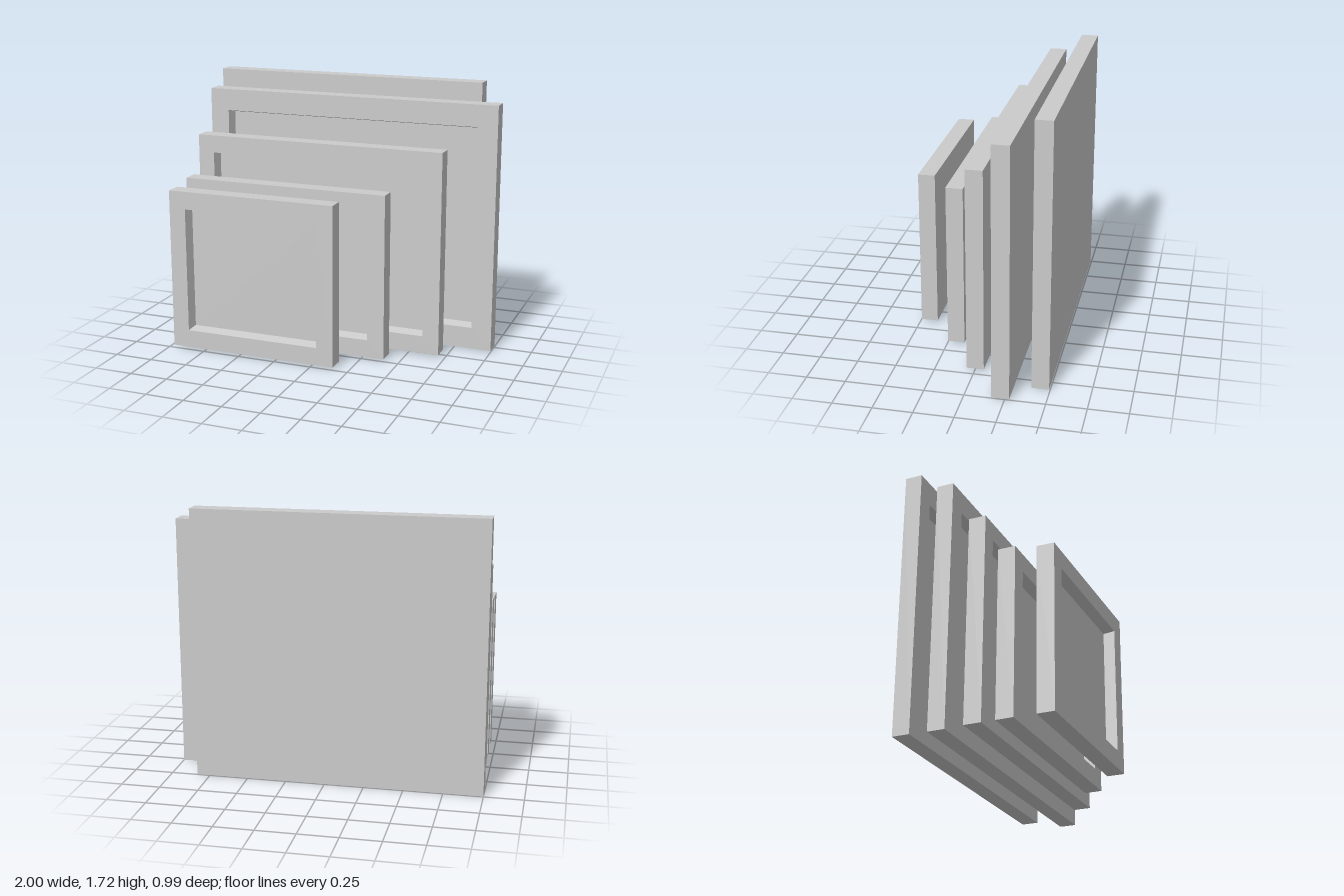
import * as THREE from 'three';

const THICKNESS = 0.11;
const RECESS_DEPTH = 0.068;
const TAPER = 0.016;

// Four corners of a rectangle at depth z, counter-clockwise seen from the front
const rect = (x0, x1, y0, y1, z) => [[x0, y0, z], [x1, y0, z], [x1, y1, z], [x0, y1, z]];

// Skins a series of rectangular loops from the back face to the recess floor
function skinLoops(loops) {
  const pos = [];
  const quad = (a, b, c, d) => pos.push(...a, ...b, ...c, ...a, ...c, ...d);
  const [b0, b1, b2, b3] = loops[0];
  quad(b3, b2, b1, b0); // back
  for (let i = 0; i < loops.length - 1; i++) {
    const lower = loops[i], upper = loops[i + 1];
    for (let j = 0; j < 4; j++) {
      const k = (j + 1) % 4;
      quad(lower[j], lower[k], upper[k], upper[j]);
    }
  }
  quad(...loops[loops.length - 1]); // recess floor
  const geometry = new THREE.BufferGeometry();
  geometry.setAttribute('position', new THREE.Float32BufferAttribute(pos, 3));
  geometry.computeVertexNormals();
  return geometry;
}

// Slab with a rectangular, slightly tapered recess in its front
function framedPanel(outer, opening, zFront) {
  const [x0, x1, y0, y1] = opening;
  const floor = [x0 + TAPER, x1 - TAPER, y0 + TAPER, y1 - TAPER];
  return skinLoops([
    rect(...outer, zFront - THICKNESS),
    rect(...outer, zFront),
    rect(...opening, zFront),
    rect(...floor, zFront - RECESS_DEPTH),
  ]);
}

export function createModel() {
  const group = new THREE.Group();
  group.name = 'framedPanels';
  const material = new THREE.MeshStandardMaterial({ color: 0xcccccc, flatShading: true });

  // Each panel: outer and opening as [left, right, bottom, top], then front z
  const panels = [
    { outer: [-0.968, 0.15, 0.014, 1.06], opening: [-0.858, 0.04, 0.13, 0.945], z: 0.492 },
    { outer: [-0.972, 0.402, 0.014, 1.09], opening: [-0.86, 0.29, 0.13, 0.975], z: 0.248 },
    { outer: [-0.973, 0.707, 0.014, 1.343], opening: [-0.865, 0.6, 0.13, 1.228], z: 0.052 },
    { outer: [-0.984, 0.997, 0.004, 1.62], opening: [-0.858, 0.866, 0.147, 1.477], z: -0.168 },
    { outer: [-1, 0.835, 0, 1.724], opening: [-0.88, 0.715, 0.15, 1.575], z: -0.383 },
  ];
  panels.forEach(({ outer, opening, z }, i) => {
    const panel = new THREE.Mesh(framedPanel(outer, opening, z), material);
    panel.name = `framedPanel${i + 1}`;
    group.add(panel);
  });
  return group;
}
